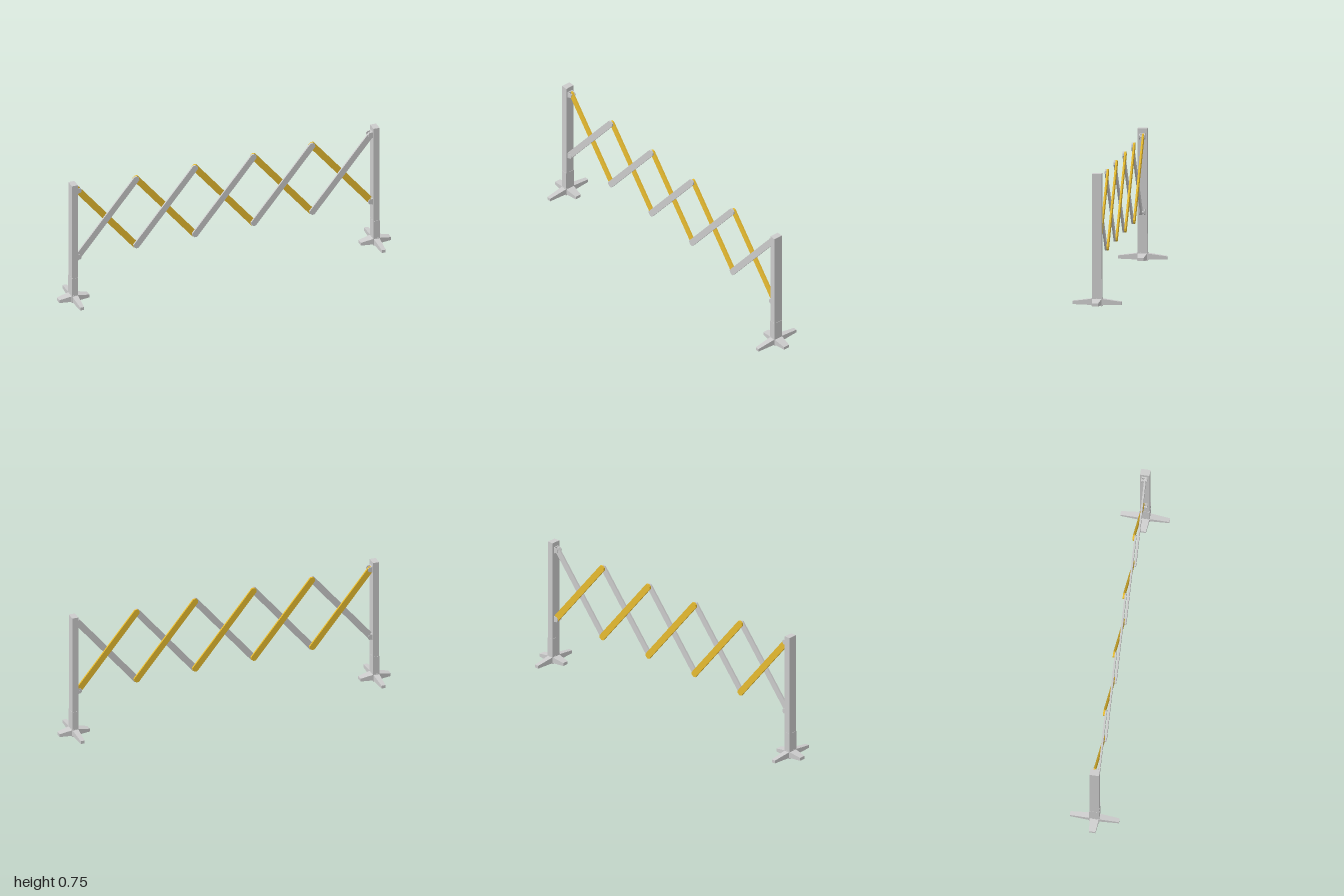
import * as THREE from 'three';

const grey = new THREE.MeshStandardMaterial({ color: 0xcccccc, flatShading: true });
const yellow = new THREE.MeshStandardMaterial({ color: 0xe8bc30, flatShading: true });

const POST_X = 0.91, SPACING = 0.354, MID_Y = 0.492, HALF_RISE = 0.215, CELLS = 5;

function add(parent, name, geometry, material, x = 0, y = 0, z = 0) {
  const mesh = new THREE.Mesh(geometry, material);
  mesh.name = name;
  mesh.position.set(x, y, z);
  parent.add(mesh);
  return mesh;
}

// Foot arm along +z, tapering in width and height towards the tip
function armGeometry() {
  const g = new THREE.BoxGeometry(2, 1, 1, 1, 1, 2);
  const p = g.attributes.position;
  const sections = [
    { z: 0, w: 0.029, low: 0.003, high: 0.045 },
    { z: 0.036, w: 0.026, low: 0.006, high: 0.04 },
    { z: 0.14, w: 0.018, low: 0.008, high: 0.026 },
  ];
  for (let i = 0; i < p.count; i++) {
    const s = sections[Math.round((p.getZ(i) + 0.5) * 2)];
    p.setXYZ(i, p.getX(i) * s.w, p.getY(i) > 0 ? s.high : s.low, s.z);
  }
  g.computeVertexNormals();
  return g;
}

// Flat bar with clipped corners, lying along x
function barGeometry(length, width, depth) {
  const a = length / 2, b = width / 2, c = width * 0.28;
  const shape = new THREE.Shape([
    [-a + c, -b], [a - c, -b], [a, -b + c], [a, b - c],
    [a - c, b], [-a + c, b], [-a, b - c], [-a, -b + c],
  ].map(([x, y]) => new THREE.Vector2(x, y)));
  return new THREE.ExtrudeGeometry(shape, { depth, bevelEnabled: false }).translate(0, 0, -depth / 2);
}

// Post with sleeve, four-armed foot and two hinge brackets
function createPost(side) {
  const post = new THREE.Group();
  post.name = side > 0 ? 'leftPost' : 'rightPost';
  post.position.x = side * POST_X;
  add(post, 'upright', new THREE.BoxGeometry(0.036, 0.742, 0.054), grey, 0, 0.381);
  add(post, 'sleeve', new THREE.BoxGeometry(0.038, 0.15, 0.057), grey, 0, 0.08);

  const foot = new THREE.Group();
  foot.name = 'foot';
  foot.scale.x = 0.65;
  post.add(foot);
  add(foot, 'hub', new THREE.BoxGeometry(0.06, 0.045, 0.06), grey, 0, 0.0225);
  for (let i = 0; i < 4; i++) {
    add(foot, 'footArm', armGeometry(), grey).rotation.y = i * Math.PI / 2;
  }

  for (const s of [-1, 1]) {
    const bracket = new THREE.Group();
    bracket.name = 'hingeBracket';
    bracket.position.set(-side * 0.018, MID_Y + s * HALF_RISE, 0);
    post.add(bracket);
    add(bracket, 'bracketPlate', new THREE.BoxGeometry(0.008, 0.036, 0.034), grey, -side * 0.003);
    for (const z of [-0.015, 0.013]) {
      add(bracket, 'bracketLug', barGeometry(0.028, 0.03, 0.004), grey, -side * 0.013, 0, z);
    }
    const pin = new THREE.CylinderGeometry(0.006, 0.006, 0.034, 8).rotateX(Math.PI / 2);
    add(bracket, 'hingePin', pin, grey, -side * 0.014, 0, -0.001);
  }
  return post;
}

export function createModel() {
  const model = new THREE.Group();
  model.name = 'expandingBarrier';
  model.add(createPost(-1), createPost(1));

  // Crossed bars: grey rising in front, yellow falling behind
  const lattice = new THREE.Group();
  lattice.name = 'lattice';
  model.add(lattice);
  const angle = Math.atan2(2 * HALF_RISE, SPACING);
  const bar = barGeometry(Math.hypot(SPACING, 2 * HALF_RISE) + 0.028, 0.037, 0.01);
  for (let i = 0; i < CELLS; i++) {
    const x = (i - (CELLS - 1) / 2) * SPACING;
    add(lattice, 'risingBar', bar, grey, x, MID_Y, 0.004).rotation.z = angle;
    add(lattice, 'fallingBar', bar, yellow, x, MID_Y, -0.006).rotation.z = -angle;
  }
  return model;
}
